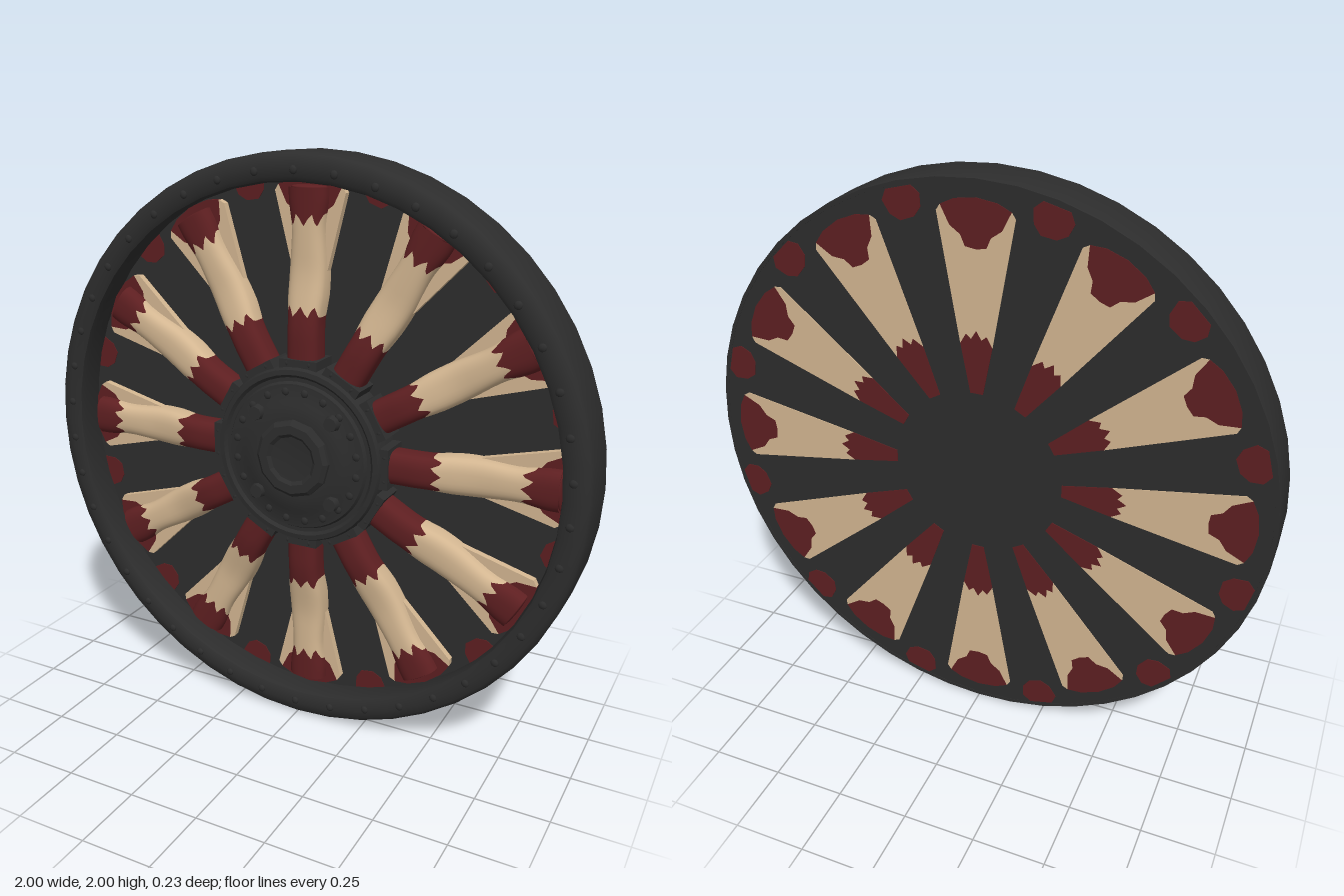
import * as THREE from 'three';
import { toCreasedNormals } from 'three/addons/utils/BufferGeometryUtils.js';

const SPOKES = 12;
const BACK = -0.115; // back face of the plate
const FRONT = -0.055; // front face of the plate

export function createModel() {
  const iron = new THREE.MeshStandardMaterial({ name: 'dark iron', color: 0x2d2d2d });
  const cream = new THREE.MeshStandardMaterial({ name: 'cream paint', color: 0xd3b691 });
  const red = new THREE.MeshStandardMaterial({ name: 'dark red paint', color: 0x5e1f21 });

  const wheel = new THREE.Group();
  wheel.name = 'wheel';
  wheel.position.y = 1;

  const add = (parent, name, geometry, material) => {
    const mesh = new THREE.Mesh(geometry, material);
    mesh.name = name;
    parent.add(mesh);
    return mesh;
  };

  // Lathe turned so that its axis points to the front; points are [radius, z]
  const turned = (points, sides, crease = 0.6) => {
    const g = new THREE.LatheGeometry(points.map(([r, z]) => new THREE.Vector2(r, z)), sides);
    g.rotateX(Math.PI / 2);
    return toCreasedNormals(g, crease);
  };

  // Ring of equal parts around the axis
  const ring = (name, count, radius, z, geometry, start = 0) => {
    const group = new THREE.Group();
    group.name = name + 's';
    for (let i = 0; i < count; i++) {
      const a = start + (i / count) * Math.PI * 2;
      const mesh = add(group, name, geometry, iron);
      mesh.position.set(Math.sin(a) * radius, Math.cos(a) * radius, z);
      mesh.rotation.z = -a;
    }
    wheel.add(group);
  };

  // Rim with a rounded front edge
  add(wheel, 'rim', turned([
    [0.985, -0.116], [0.998, -0.116], [1, -0.11], [1, 0.05], [0.994, 0.068], [0.98, 0.08], [0.955, 0.084],
    [0.925, 0.082], [0.912, 0.074], [0.906, 0.05], [0.925, -0.045], [0.975, -0.06], [0.985, -0.116],
  ], 48), iron);

  // Back plate
  const plate = new THREE.CylinderGeometry(0.99, 0.99, FRONT - BACK, 64);
  plate.rotateX(Math.PI / 2);
  add(wheel, 'backPlate', plate, iron).position.z = (FRONT + BACK) / 2;

  // Flat outlines given a thickness from z0 to z1
  const slab = (points, z0, z1) => {
    const shape = new THREE.Shape(points.map(([x, y]) => new THREE.Vector2(x, y)));
    return new THREE.ExtrudeGeometry(shape, { depth: z1 - z0, bevelEnabled: false }).translate(0, 0, z0);
  };
  const innerEdge = [[-0.055, 0.47], [-0.035, 0.505], [-0.018, 0.49], [0, 0.52], [0.018, 0.49], [0.035, 0.505], [0.055, 0.47]];
  // Notched outer edge, its red tip and its cream horns, moved outward by d
  const outerEdge = (d) => [[0.115, 0.89], [0.085, 0.83], [0.05, 0.805], [0.035, 0.77], [0, 0.765],
    [-0.035, 0.77], [-0.05, 0.805], [-0.085, 0.83], [-0.115, 0.89]].map(([x, y]) => [x, y + d]);
  const redTip = (d) => [...outerEdge(d).reverse(), [0.07, 0.912 + d], [0, 0.922 + d], [-0.07, 0.912 + d]];
  const horns = (d) => [[0.128, 0.87 + d], ...outerEdge(d), [-0.128, 0.87 + d]];

  // Thin paint on the back of the plate
  const paintBack = [BACK - 0.0025, BACK + 0.002];
  const backMiddle = slab([...innerEdge, ...horns(0.02)], ...paintBack);
  const backInner = slab([[-0.022, 0.3], [0.022, 0.3], ...[...innerEdge].reverse()], ...paintBack);
  const backOuter = slab(redTip(0.02), ...paintBack);

  // Flared wedges raised from the front of the plate beside the outer half of each spoke
  const flareDepth = [FRONT - 0.005, FRONT + 0.025];
  const flareMiddle = slab([[-0.05, 0.56], [0.05, 0.56], ...horns(0)], ...flareDepth);
  const flareOuter = slab(redTip(0), ...flareDepth);

  // Spots at the rim on both faces of the plate
  const spot = [[-0.06, 0.93], [-0.052, 0.89], [-0.025, 0.865], [0.02, 0.86],
    [0.047, 0.885], [0.06, 0.93], [0.04, 0.96], [-0.04, 0.96]];
  const frontSpot = slab(spot, FRONT - 0.002, FRONT + 0.0025);
  const backSpot = slab(spot.map(([x, y]) => [x * 1.1, y + 0.018]), ...paintBack);

  // Spoke: closed rounded section swept along the radius between two painted edges
  const halfWidth = (r) => 0.058 + 0.008 * THREE.MathUtils.smoothstep(r, 0.45, 0.55)
    - 0.008 * THREE.MathUtils.smoothstep(r, 0.6, 0.75) + 0.012 * THREE.MathUtils.smoothstep(r, 0.75, 0.86);
  const frontZ = (r) => 0.05 - 0.035 * THREE.MathUtils.smoothstep(r, 0.4, 0.65);
  const AROUND = 32, ALONG = 10, THICK = 0.11;
  const spokePart = (low, high) => {
    const pos = [], index = [];
    for (let j = 0; j <= ALONG; j++) {
      for (let i = 0; i <= AROUND; i++) {
        const a = (i / AROUND) * Math.PI * 2 - Math.PI, s = Math.sin(a), c = Math.cos(a);
        const r = THREE.MathUtils.lerp(low(s), high(s), j / ALONG);
        const x = Math.sign(s) * Math.pow(Math.abs(s), 0.8) * halfWidth(r);
        const z = frontZ(r) - THICK / 2 + Math.sign(c) * Math.pow(Math.abs(c), 0.6) * THICK / 2;
        pos.push(x, r, z);
        if (i < AROUND && j < ALONG) {
          const p = j * (AROUND + 1) + i, q = p + AROUND + 1;
          index.push(p, p + 1, q, p + 1, q + 1, q);
        }
      }
    }
    const g = new THREE.BufferGeometry();
    g.setAttribute('position', new THREE.Float32BufferAttribute(pos, 3));
    g.setIndex(index);
    g.computeVertexNormals();
    return g;
  };
  const lowEdge = (s) => 0.49 + 0.018 * Math.cos(s * Math.PI * 3);
  const highEdge = (s) => 0.785 - 0.02 * Math.cos(s * Math.PI * 3);
  const spokeInner = spokePart(() => 0.28, lowEdge);
  const spokeMiddle = spokePart(lowEdge, highEdge);
  const spokeOuter = spokePart(highEdge, () => 0.885);
  const spokeEnd = new THREE.SphereGeometry(1, 16, 8);
  spokeEnd.scale(halfWidth(0.885), 0.008, THICK / 2).translate(0, 0.885, frontZ(0.885) - THICK / 2);

  for (let i = 0; i < SPOKES; i++) {
    const spoke = new THREE.Group();
    spoke.name = 'spoke';
    spoke.rotation.z = (i / SPOKES) * Math.PI * 2;
    add(spoke, 'spokeInnerEnd', spokeInner, red);
    add(spoke, 'spokeMiddle', spokeMiddle, cream);
    add(spoke, 'spokeOuterEnd', spokeOuter, red);
    add(spoke, 'spokeTip', spokeEnd, red);
    add(spoke, 'flare', flareMiddle, cream);
    add(spoke, 'flareTip', flareOuter, red);
    add(spoke, 'backPaintMiddle', backMiddle, cream);
    add(spoke, 'backPaintInner', backInner, red);
    add(spoke, 'backPaintOuter', backOuter, red);
    add(spoke, 'frontSpot', frontSpot, red).rotation.z = Math.PI / SPOKES;
    add(spoke, 'backSpot', backSpot, red).rotation.z = Math.PI / SPOKES;
    wheel.add(spoke);
  }

  // Hub with raised edge and stepped face
  add(wheel, 'hub', turned([
    [0.31, FRONT], [0.31, 0.055], [0.302, 0.07], [0.285, 0.072], [0.275, 0.062],
    [0.262, 0.062], [0.255, 0.074], [0.2, 0.078], [0.185, 0.086], [0.14, 0.088], [0, 0.088],
  ], 48), iron);

  // Many-sided cap with a shallow dish
  add(wheel, 'hubCap', turned([
    [0.138, 0.07], [0.136, 0.1], [0.122, 0.112], [0.092, 0.112], [0.08, 0.102], [0, 0.094],
  ], 12, 0.2), iron);

  // Spoke sockets, bolts and rivets
  ring('spokeSocket', SPOKES, 0.315, 0, new THREE.BoxGeometry(0.14, 0.035, 0.115));
  ring('socketStud', SPOKES * 2, 0.322, 0.045, new THREE.SphereGeometry(0.015, 8, 6), Math.PI / 24);
  const bolt = new THREE.CylinderGeometry(0.024, 0.03, 0.03, 8);
  bolt.rotateX(Math.PI / 2);
  ring('hubBolt', 4, 0.2, 0.087, bolt, Math.PI / 4);
  const rivet = new THREE.SphereGeometry(0.014, 8, 6);
  rivet.scale(1, 1, 0.5);
  ring('hubRivet', 20, 0.23, 0.077, rivet, Math.PI / 20);
  ring('rimRivet', 42, 0.945, 0.083, rivet);

  const model = new THREE.Group();
  model.name = 'model';
  model.add(wheel);
  return model;
}
